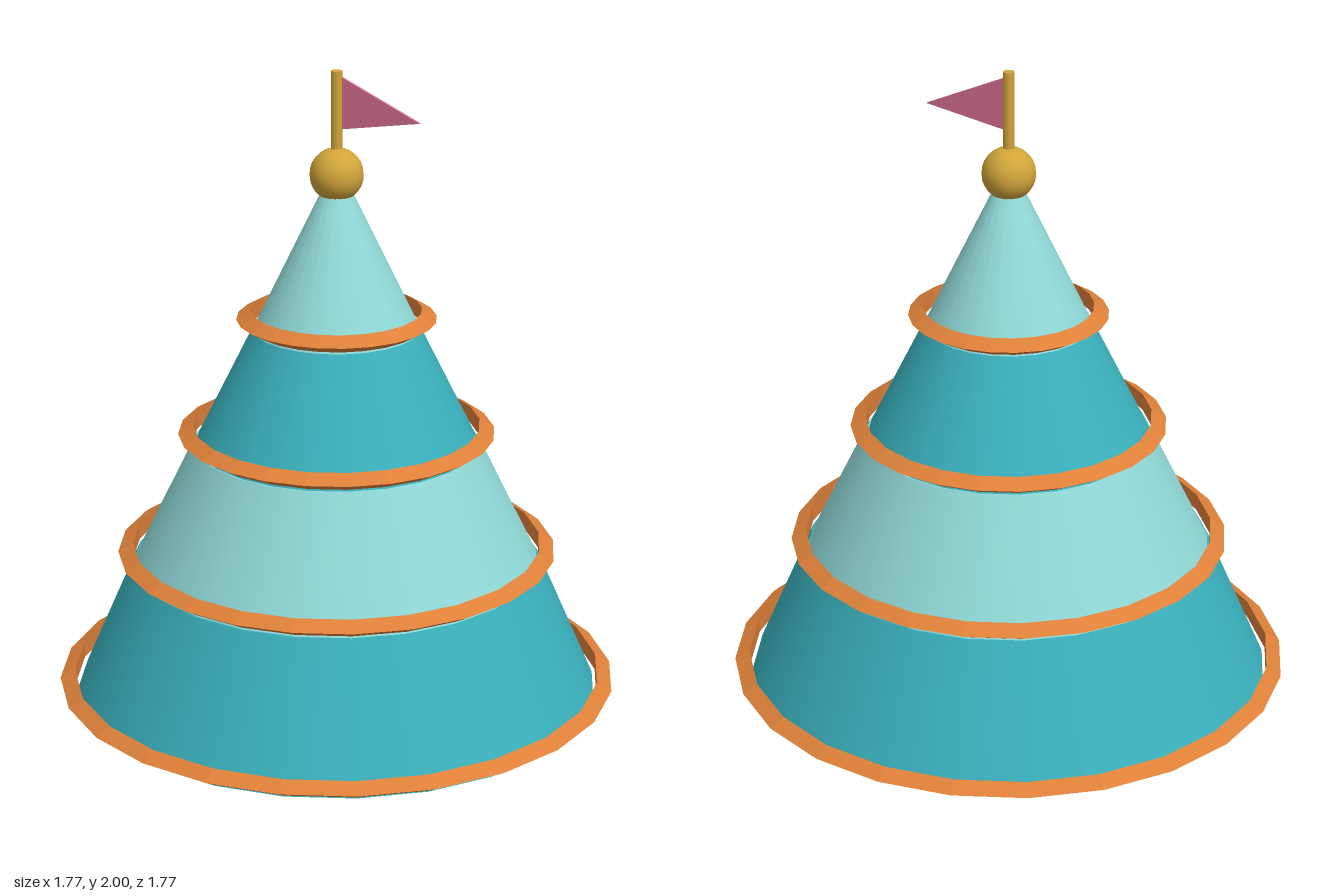
import * as THREE from 'three';

const mat = (name, color, extra = {}) => {
  const m = new THREE.MeshStandardMaterial({ color, ...extra });
  m.name = name;
  return m;
};

export function createModel() {
  const teal = mat('teal', 0x3ab1bd);
  const aqua = mat('aqua', 0x90d9d7);
  const orange = mat('orange', 0xdd8039, { flatShading: true });
  const gold = mat('gold', 0xd2a53a);
  const pink = mat('pink', 0xd16d8d);

  const model = new THREE.Group();
  model.name = 'tieredCone';
  const add = (name, geometry, material, x = 0, y = 0, z = 0) => {
    const mesh = new THREE.Mesh(geometry, material);
    mesh.name = name;
    mesh.position.set(x, y, z);
    model.add(mesh);
    return mesh;
  };

  // Stacked tapering tiers: bottom y, bottom radius, top y, top radius
  const tiers = [
    [0, 0.83, 0.43, 0.643],
    [0.43, 0.638, 0.82, 0.448],
    [0.82, 0.443, 1.19, 0.26],
    [1.19, 0.258, 1.7, 0.012],
  ];
  tiers.forEach(([y0, r0, y1, r1], i) => {
    const cone = new THREE.CylinderGeometry(r1, r0, y1 - y0, 24);
    add(`tier${i + 1}`, cone, i % 2 ? aqua : teal, 0, (y0 + y1) / 2, 0);
  });

  // Trim hoops with a three-sided section, one at the foot of each tier
  const hoops = [[0.035, 0.855], [0.466, 0.66], [0.855, 0.464], [1.225, 0.279]];
  hoops.forEach(([y, radius], i) => {
    const hoop = new THREE.TorusGeometry(radius, 0.031, 3, 24).rotateX(Math.PI / 2);
    add(`trimHoop${i + 1}`, hoop, orange, 0, y, 0);
  });

  // Finial ball and flagpole
  add('finialBall', new THREE.SphereGeometry(0.083, 20, 14), gold, 0, 1.68, 0);
  add('flagpole', new THREE.CylinderGeometry(0.018, 0.018, 0.3, 8), gold, 0, 1.85, 0);

  // Pennant
  const outline = new THREE.Shape([
    new THREE.Vector2(0.01, 1.82),
    new THREE.Vector2(0.272, 1.865),
    new THREE.Vector2(0.01, 1.982),
  ]);
  const pennant = new THREE.ExtrudeGeometry(outline, { depth: 0.009, bevelEnabled: false });
  add('pennant', pennant, pink, 0, 0, -0.012);

  return model;
}
